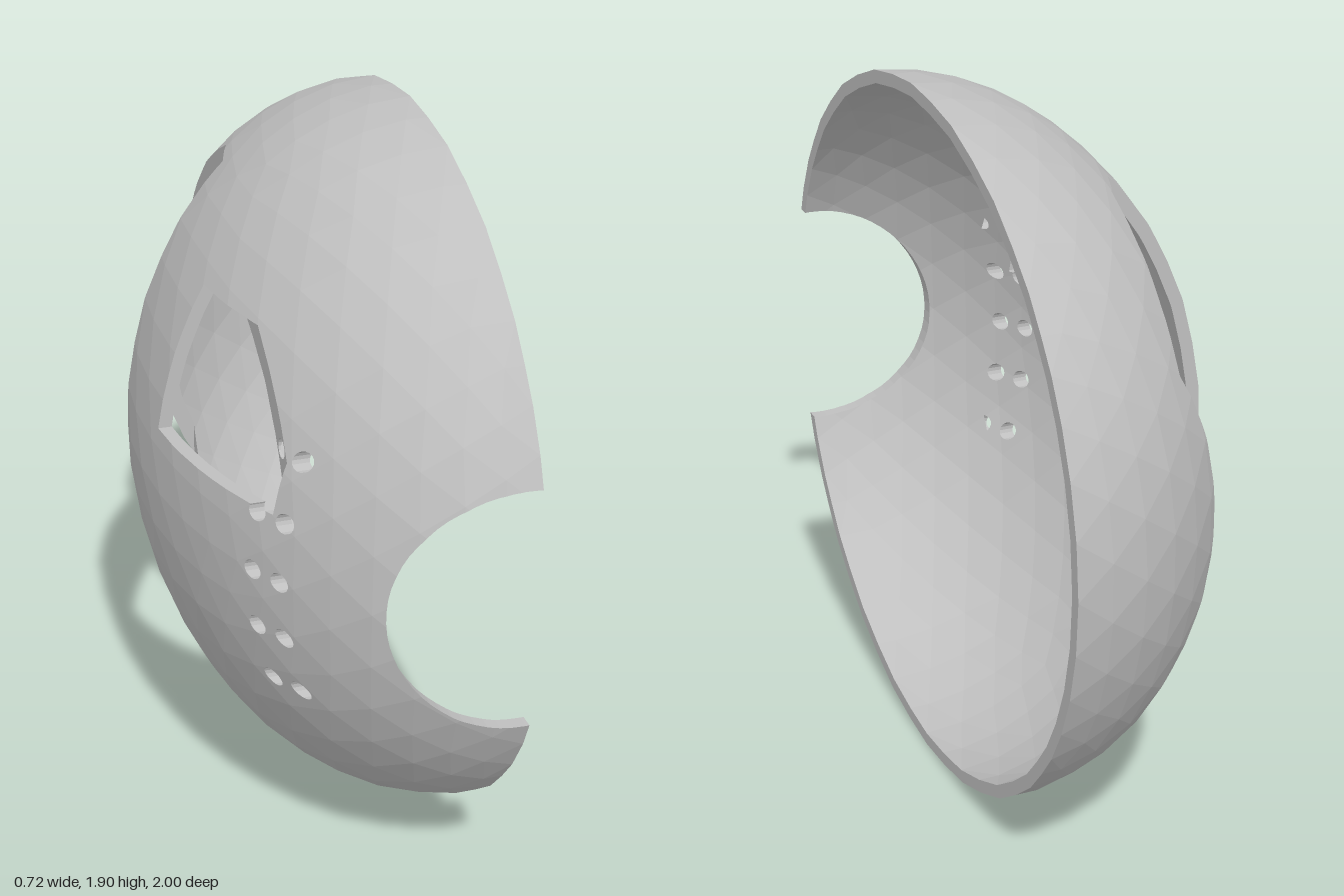
import * as THREE from 'three';

const EPS = 1e-6;
const V = (x, y, z) => new THREE.Vector3(x, y, z);
const CENTER = V(0.36, 0.95, 0.03);
const OUTER = V(0.72, 0.95, 1.03);
const THICKNESS = 0.035;

// Plane through a point, with its normal pointing out of the solid it bounds
const plane = (normal, point) => new THREE.Plane().setFromNormalAndCoplanarPoint(normal, point);

// Split a convex polygon into the parts inside and outside a plane
function split(poly, p) {
  const d = poly.map(v => p.distanceToPoint(v));
  if (d.every(t => t <= EPS)) return [poly, null];
  if (d.every(t => t >= -EPS)) return [null, poly];
  const inside = [], outside = [];
  poly.forEach((v, i) => {
    const j = (i + 1) % poly.length;
    if (d[i] <= EPS) inside.push(v);
    if (d[i] >= -EPS) outside.push(v);
    if ((d[i] > EPS && d[j] < -EPS) || (d[i] < -EPS && d[j] > EPS)) {
      const m = v.clone().lerp(poly[j], d[i] / (d[i] - d[j]));
      inside.push(m);
      outside.push(m);
    }
  });
  return [inside, outside];
}

// Keep what lies inside a convex solid
function intersect(poly, planes) {
  for (const p of planes) {
    if (!poly) return null;
    poly = split(poly, p)[0];
  }
  return poly;
}

// Remove a convex solid; polygons that miss it stay whole
function subtract(polys, planes) {
  return polys.flatMap(poly => {
    const pieces = [];
    let rest = poly;
    for (const p of planes) {
      const [inside, outside] = split(rest, p);
      if (!inside) return [poly];
      if (outside) pieces.push(outside);
      rest = inside;
    }
    return pieces;
  });
}

// Faceted ellipsoid as a list of triangles
function ellipsoid(radii) {
  const pos = new THREE.IcosahedronGeometry(1, 7).attributes.position;
  const tris = [];
  for (let i = 0; i < pos.count; i += 3) {
    tris.push([0, 1, 2].map(k =>
      new THREE.Vector3().fromBufferAttribute(pos, i + k).multiply(radii).add(CENTER)));
  }
  return tris;
}
const facePlanes = tris => tris.map(t => new THREE.Plane().setFromCoplanarPoints(...t));

// Cutting solids, each a list of planes
function boxCut(min, max) {
  return [
    plane(V(1, 0, 0), max), plane(V(0, 1, 0), max), plane(V(0, 0, 1), max),
    plane(V(-1, 0, 0), min), plane(V(0, -1, 0), min), plane(V(0, 0, -1), min),
  ];
}
function cylinderCut(axis, start, end, radius, sides) {
  const u = axis.x ? V(0, 1, 0) : V(1, 0, 0);
  const w = axis.clone().cross(u);
  const planes = [plane(axis, end), plane(axis.clone().negate(), start)];
  for (let i = 0; i < sides; i++) {
    const a = (i / sides) * Math.PI * 2;
    const n = u.clone().multiplyScalar(Math.cos(a)).addScaledVector(w, Math.sin(a));
    planes.push(plane(n, start.clone().addScaledVector(n, radius)));
  }
  return planes;
}

// Large square on a cutter plane, facing into the cutter
function bigSquare(p) {
  const n = p.normal.clone().negate();
  const u = (Math.abs(n.y) > 0.9 ? V(1, 0, 0) : V(0, 1, 0)).cross(n).normalize();
  const w = n.clone().cross(u);
  const c = p.projectPoint(CENTER, V(0, 0, 0));
  return [[-3, -3], [3, -3], [3, 3], [-3, 3]].map(([a, b]) =>
    c.clone().addScaledVector(u, a).addScaledVector(w, b));
}

// Mesh with flat faces from convex polygons
function polyMesh(name, polys, material) {
  const pts = [];
  for (const poly of polys) {
    for (let i = 1; i < poly.length - 1; i++) {
      const tri = new THREE.Triangle(poly[0], poly[i], poly[i + 1]);
      if (tri.getArea() > 1e-9) pts.push(tri.a, tri.b, tri.c);
    }
  }
  const geometry = new THREE.BufferGeometry().setFromPoints(pts);
  geometry.computeVertexNormals();
  const mesh = new THREE.Mesh(geometry, material);
  mesh.name = name;
  return mesh;
}

export function createModel() {
  const grey = new THREE.MeshStandardMaterial({ color: 0xbfbfbf });
  grey.name = 'light grey';

  const outer = ellipsoid(OUTER);
  const inner = ellipsoid(OUTER.clone().subScalar(THICKNESS));
  const outerPlanes = facePlanes(outer);
  const innerPlanes = facePlanes(inner);

  const cutters = [
    // open half
    [plane(V(-1, 0, 0), CENTER)],
    // round front opening
    cylinderCut(V(0, 0, 1), V(0.335, 0.95, 0.5), V(0.335, 0.95, 2), 0.325, 64),
    // large rear side opening
    boxCut(V(-1, 0.22, -0.73), V(-0.02, 1.68, -0.22)),
    // small side window
    boxCut(V(-1, 1.12, 0.15), V(-0.155, 1.505, 0.665)),
  ];
  // two columns of small holes
  for (const z of [0.62, 0.7]) {
    for (const y of [0.63, 0.79, 0.95, 1.11, 1.27]) {
      cutters.push(cylinderCut(V(1, 0, 0), V(-1, y, z), V(-0.09, y, z), 0.025, 16));
    }
  }

  const cutAll = (polys, skip) =>
    cutters.reduce((list, c) => (c === skip ? list : subtract(list, c)), polys);

  // wall faces through the thickness of the shell
  const walls = cutters.map(c => c.flatMap(p => {
    const face = intersect(intersect(bigSquare(p), c.filter(q => q !== p)), outerPlanes);
    return face ? cutAll(subtract([face], innerPlanes), c) : [];
  }));

  const group = new THREE.Group();
  group.name = 'halfShell';
  group.add(
    polyMesh('outerShell', cutAll(outer), grey),
    polyMesh('innerShell', cutAll(inner).map(p => [...p].reverse()), grey),
    polyMesh('rim', walls[0], grey),
    polyMesh('frontOpeningEdge', walls[1], grey),
    polyMesh('rearOpeningEdge', walls[2], grey),
    polyMesh('windowEdge', walls[3], grey),
    polyMesh('smallHoleEdges', walls.slice(4).flat(), grey),
  );
  return group;
}
